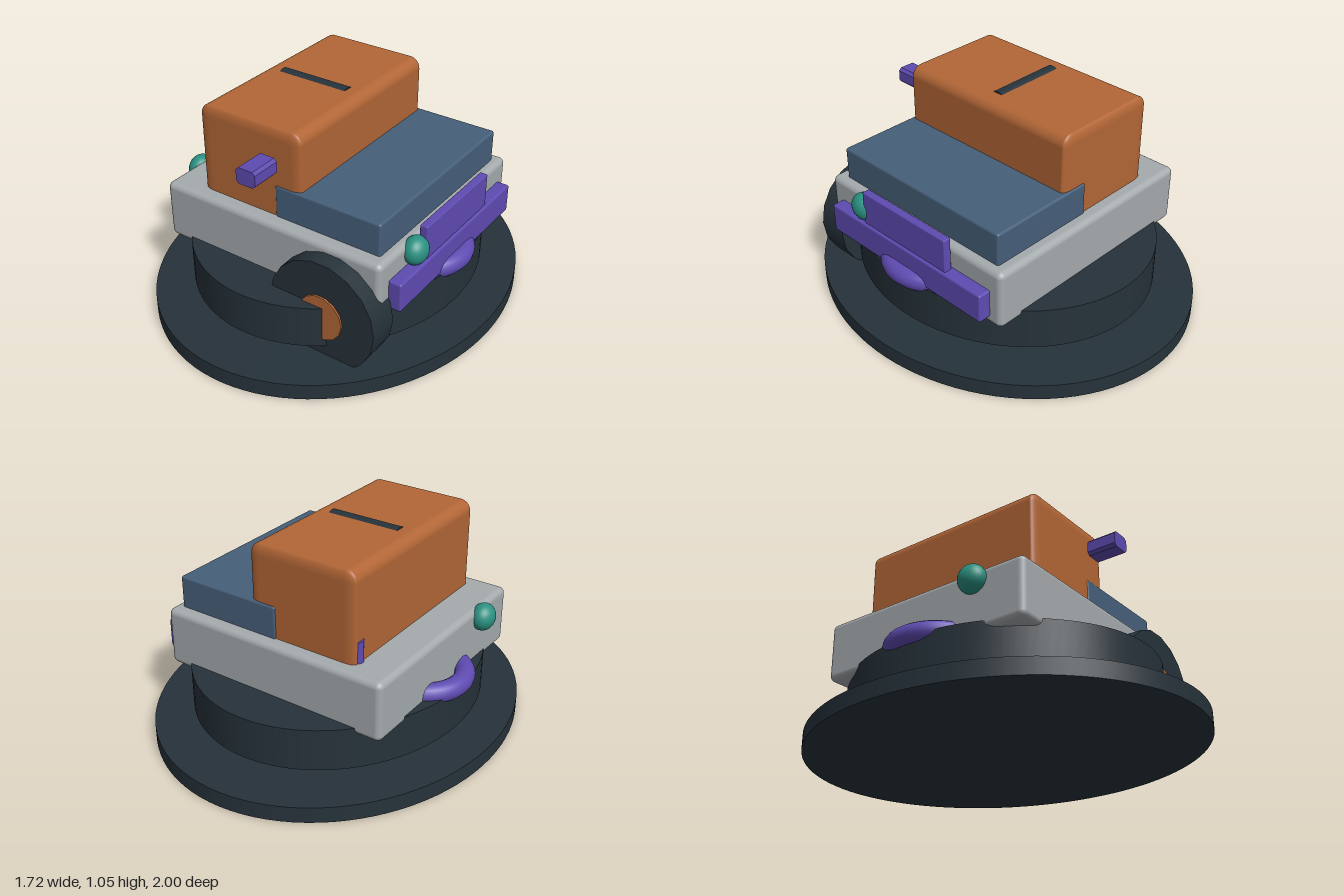
import * as THREE from 'three';
import { RoundedBoxGeometry } from 'three/addons/geometries/RoundedBoxGeometry.js';

const material = (name, color) => {
  const m = new THREE.MeshStandardMaterial({ color });
  m.name = name;
  return m;
};

export function createModel() {
  const model = new THREE.Group();
  const dark = material('dark slate', 0x26323a);
  const grey = material('light grey', 0xa5aaad);
  const orange = material('burnt orange', 0xb26636);
  const blue = material('steel blue', 0x465f7a);
  const purple = material('violet', 0x5f4bb2);
  const teal = material('teal', 0x2a9182);

  const add = (name, geometry, mat, x, y, z) => {
    const mesh = new THREE.Mesh(geometry, mat);
    mesh.name = name;
    mesh.position.set(x, y, z);
    model.add(mesh);
    return mesh;
  };

  // Box given by its limits, with rounded edges
  const box = (name, mat, [x0, x1], [y0, y1], [z0, z1], r) =>
    add(name, new RoundedBoxGeometry(x1 - x0, y1 - y0, z1 - z0, 4, r), mat,
      (x0 + x1) / 2, (y0 + y1) / 2, (z0 + z1) / 2);

  // Oval plinth and the drum floating above it
  const oval = (name, rx, rz, y0, y1) =>
    add(name, new THREE.CylinderGeometry(1, 1, y1 - y0, 96), dark, 0, (y0 + y1) / 2, 0)
      .scale.set(rx, 1, rz);
  oval('basePlate', 0.86, 1, 0, 0.08);
  oval('baseDrum', 0.685, 0.79, 0.13, 0.34);

  // Body, cabin and side deck
  box('body', grey, [-0.605, 0.605], [0.305, 0.6], [-0.567, 0.572], 0.03);
  const cabin = add('cabin', new RoundedBoxGeometry(0.565, 0.51, 2.5, 5, 0.055), orange, -0.143, 0.787, 0);
  cabin.scale.z = 0.4; // tighter rounding along the length
  box('sideDeck', blue, [0, 0.56], [0.55, 0.76], [-0.508, 0.505], 0.012);

  // Shallow bar set into the cabin roof
  const bar = new THREE.CylinderGeometry(0.05, 0.05, 0.375, 32).rotateZ(Math.PI / 2);
  add('roofBar', bar, dark, -0.1425, 1.0, 0);

  // Front wheel with its hub
  const disc = (r, depth, sides) =>
    new THREE.CylinderGeometry(r, r, depth, sides, 1, false, Math.PI / sides).rotateX(Math.PI / 2);
  add('wheel', disc(0.278, 0.155, 18), dark, 0.355, 0.29, 0.578);
  add('wheelHub', disc(0.115, 0.15, 14), orange, 0.355, 0.283, 0.59);

  // Chamfered block hovering in front of the cabin
  const w = 0.052, h = 0.04, c = 0.014;
  const outline = new THREE.Shape([
    [-w + c, -h], [w - c, -h], [w, -h + c], [w, h - c],
    [w - c, h], [-w + c, h], [-w, h - c], [-w, -h + c],
  ].map(([x, y]) => new THREE.Vector2(x, y)));
  add('frontBlock', new THREE.ExtrudeGeometry(outline, { depth: 0.15, bevelEnabled: false }),
    purple, -0.002, 0.89, 0.545);

  // Small peg by the rear corner of the cabin
  add('rearPeg', new THREE.CylinderGeometry(0.03, 0.03, 0.12, 20), purple, -0.407, 0.645, -0.45);

  // Rails along the left side
  box('lowerRail', purple, [0.6, 0.668], [0.347, 0.492], [-0.502, 0.502], 0.01);
  box('upperRail', purple, [0.615, 0.655], [0.47, 0.66], [-0.275, 0.275], 0.006);

  // Curved handle and round lamp on each side
  for (const side of [-1, 1]) {
    const prefix = side > 0 ? 'left' : 'right';
    const arc = new THREE.TorusGeometry(0.2, 0.05, 16, 32, Math.PI)
      .rotateX(Math.PI / 2).rotateY(side * Math.PI / 2);
    add(prefix + 'Handle', arc, purple, side * 0.475, 0.35, 0);
    add(prefix + 'Lamp', new THREE.SphereGeometry(1, 28, 20), teal, side * 0.62, 0.55, 0.31)
      .scale.set(0.058, 0.068, 0.07);
  }

  return model;
}
